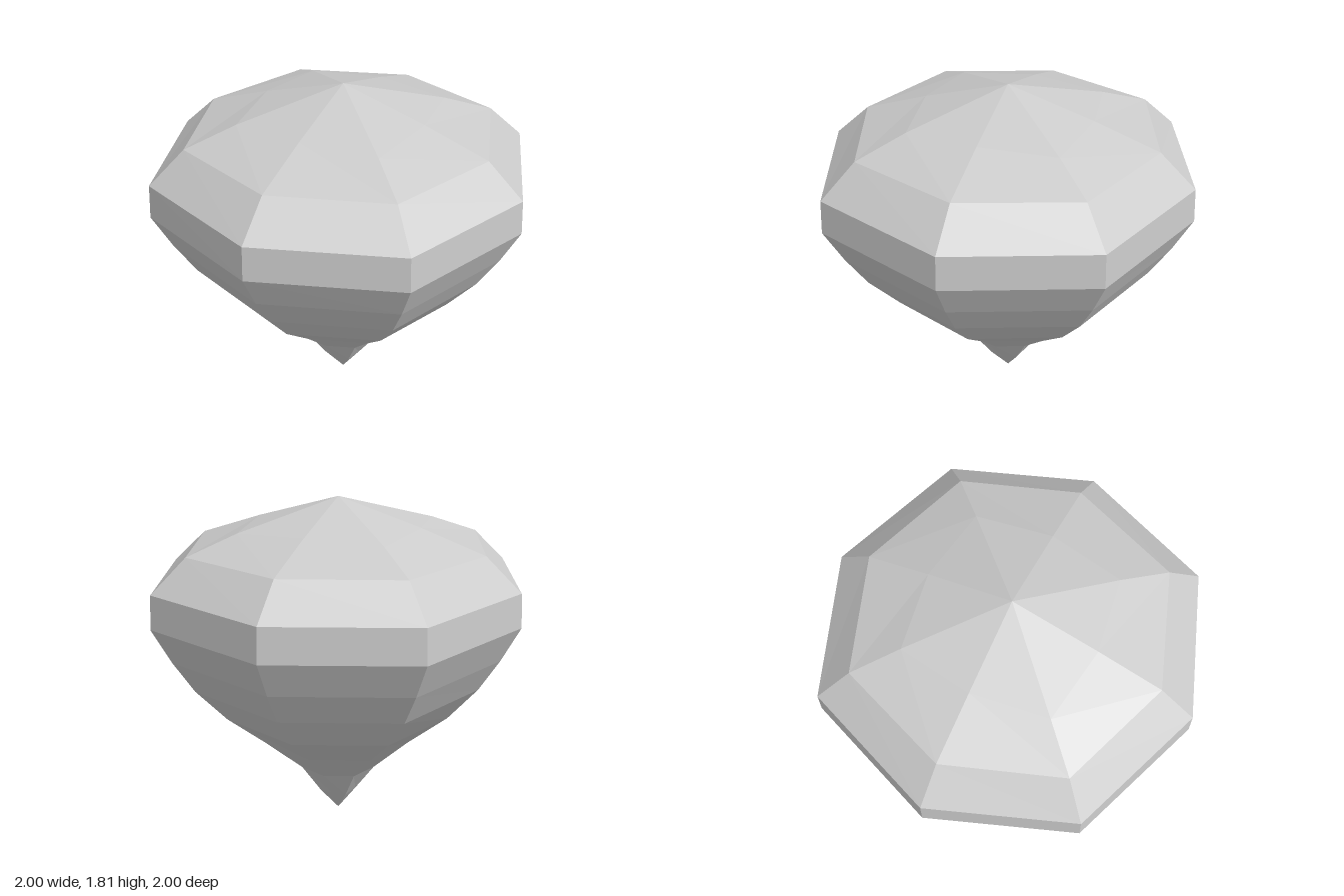
import * as THREE from 'three';

// Rings from tip to crown: [height, radius on the axes, x = z offset at the diagonals, diagonal height]
const rings = [
  [0.01, 0, 0],
  [0.15, 0.105, 0.075, 0.135],
  [0.3, 0.215, 0.155],
  [0.48, 0.41, 0.3],
  [0.66, 0.63, 0.455],
  [0.845, 0.79, 0.575],
  [1.02, 0.9, 0.655],
  [1.21, 1.0, 0.727],
  [1.39, 0.99, 0.72],
  [1.565, 0.8, 0.587],
  [1.682, 0.455, 0.395, 1.663],
  [1.815, 0, 0],
];

// Eight-sided lathe whose diagonal corners follow their own profile
function facetedBody() {
  const points = rings.map(([y, r]) => new THREE.Vector2(r, y));
  const geometry = new THREE.LatheGeometry(points, 8);
  const pos = geometry.attributes.position;
  for (let i = 0; i <= 8; i++) {
    if (i % 2 === 0) continue;
    const angle = (i * Math.PI) / 4;
    rings.forEach(([y, , d, diagY = y], j) => {
      pos.setXYZ(i * rings.length + j, Math.sign(Math.sin(angle)) * d, diagY, Math.sign(Math.cos(angle)) * d);
    });
  }
  geometry.computeVertexNormals();
  return geometry;
}

export function createModel() {
  const group = new THREE.Group();
  group.name = 'spinningTop';
  const material = new THREE.MeshStandardMaterial({ color: 0xcccccc, flatShading: true });
  const body = new THREE.Mesh(facetedBody(), material);
  body.name = 'body';
  group.add(body);
  return group;
}
